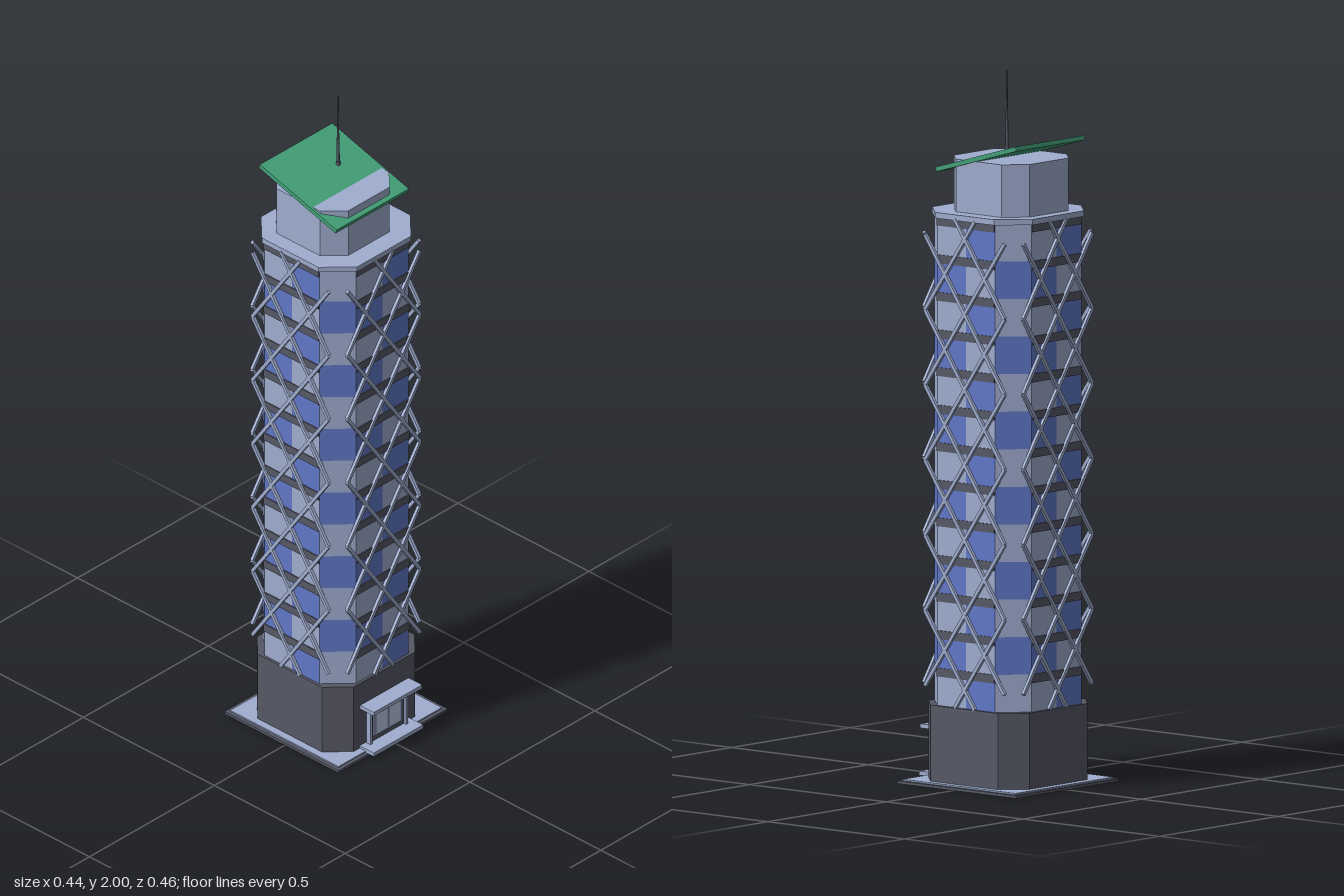
import * as THREE from 'three';
import { mergeGeometries } from 'three/addons/utils/BufferGeometryUtils.js';

const mat = (name, color) => {
  const m = new THREE.MeshStandardMaterial({ color });
  m.name = name;
  return m;
};

export function createModel() {
  const stone = mat('pale stone', 0x9fadcf);
  const dark = mat('dark grey', 0x565866);
  const blue = mat('blue glass', 0x6078c8);
  const green = mat('green roof', 0x43a179);
  const pane = mat('door glass', 0xc0cdeb);

  const group = new THREE.Group();
  const add = (name, geometry, material, x = 0, y = 0, z = 0) => {
    const mesh = new THREE.Mesh(geometry, material);
    mesh.name = name;
    mesh.position.set(x, y, z);
    group.add(mesh);
    return mesh;
  };
  const box = (name, w, h, d, material, x, y, z) =>
    add(name, new THREE.BoxGeometry(w, h, d), material, x, y, z);

  // Square prism with cut corners: a = half width, f = half length of a flat side
  const octagon = (a, f, h) => {
    const pts = [[a, -f], [a, f], [f, a], [-f, a], [-a, f], [-a, -f], [-f, -a], [f, -a]];
    const shape = new THREE.Shape(pts.map(([x, y]) => new THREE.Vector2(x, y)));
    return new THREE.ExtrudeGeometry(shape, { depth: h, bevelEnabled: false }).rotateX(-Math.PI / 2);
  };

  const CZ = -0.012;               // tower axis
  const A = 0.177, F = 0.105;      // shaft half width and flat half length
  const Y0 = 0.225, STEP = 0.105, FLOORS = 13;
  const Y1 = Y0 + STEP * FLOORS;

  // Ground plates and base
  box('groundPlate', 0.436, 0.008, 0.436, dark, 0, 0.004, CZ);
  box('paving', 0.414, 0.005, 0.414, stone, 0, 0.0095, CZ);
  add('base', octagon(0.185, 0.123, Y0 - 0.005), dark, 0, 0.005, CZ);

  // Shaft panels, window bands and braces, collected per colour
  const panels = { stone: [], blue: [] };
  const bands = [], braces = [];
  const diagonal = (A + F) / Math.SQRT2;
  const cornerWidth = (A - F) * Math.SQRT2;

  // Bracing bars rise across a face from one edge node to the other
  const EDGE = 0.145, SLOPE = 2 * STEP / EDGE;
  const bars = [];
  for (let k = -2; k <= 6; k++) {
    const y = Y0 + STEP * (0.5 + 2 * k);
    const from = Math.max(y, Y0), to = Math.min(y + 4 * STEP, Y1);
    if (to - from < 0.06) continue;
    const x0 = -EDGE + (from - y) / SLOPE, x1 = -EDGE + (to - y) / SLOPE;
    for (const s of [1, -1]) bars.push([s * x0, from, s * x1, to]);
  }

  for (let side = 0; side < 4; side++) {
    const turn = side * Math.PI / 2;
    for (let i = 0; i < FLOORS; i++) {
      const y = Y0 + STEP * (i + 0.5);
      const odd = i % 2 === 1;
      for (const s of [-1, 1]) {
        const isBlue = (s < 0) === odd;
        panels[isBlue ? 'blue' : 'stone'].push(
          new THREE.PlaneGeometry(F, STEP).translate(s * F / 2, y, A).rotateY(turn));
      }
      panels[odd ? 'blue' : 'stone'].push(
        new THREE.PlaneGeometry(cornerWidth, STEP).translate(0, y, diagonal).rotateY(turn + Math.PI / 4));
      bands.push(new THREE.BoxGeometry(F * 2, 0.024, 0.006)
        .translate(0, y + STEP / 2 - 0.012, A).rotateY(turn));
    }
    for (const [x0, y0, x1, y1] of bars) {
      braces.push(new THREE.BoxGeometry(Math.hypot(x1 - x0, y1 - y0), 0.01, 0.009)
        .rotateZ(Math.atan2(y1 - y0, x1 - x0))
        .translate((x0 + x1) / 2, (y0 + y1) / 2, A + 0.0045).rotateY(turn));
    }
  }
  add('stonePanels', mergeGeometries(panels.stone), stone, 0, 0, CZ);
  add('bluePanels', mergeGeometries(panels.blue), blue, 0, 0, CZ);
  add('floorBands', mergeGeometries(bands), dark, 0, 0, CZ);
  add('diagonalBraces', mergeGeometries(braces), stone, 0, 0, CZ);

  // Terrace, crown and tilted roof
  add('terrace', octagon(0.184, 0.108, 0.016), stone, 0, Y1 - 0.003, CZ);
  add('crown', octagon(0.138, 0.083, 0.15), stone, 0, 1.6, -0.024);
  const roof = box('tiltedRoof', 0.29, 0.013, 0.305, green, 0, 1.758, -0.02);
  roof.rotation.x = 0.282;

  // Antenna
  const AX = 0.044, AZ = -0.046;
  add('antennaFoot', new THREE.CylinderGeometry(0.006, 0.007, 0.02, 8), dark, AX, 1.773, AZ);
  add('antennaLower', new THREE.CylinderGeometry(0.004, 0.005, 0.09, 8), dark, AX, 1.815, AZ);
  add('antennaUpper', new THREE.CylinderGeometry(0.0018, 0.0035, 0.15, 8), dark, AX, 1.925, AZ);

  // Entrance
  box('canopy', 0.194, 0.012, 0.06, stone, 0, 0.146, 0.195);
  box('doorstep', 0.198, 0.012, 0.06, stone, 0, 0.014, 0.197);
  box('doorWall', 0.14, 0.12, 0.012, dark, 0, 0.08, 0.177);
  for (const s of [-1, 1]) {
    box('doorPost', 0.008, 0.12, 0.016, stone, s * 0.071, 0.08, 0.184);
    box('doorFrame', 0.056, 0.096, 0.004, stone, s * 0.028, 0.084, 0.184);
    box('doorPane', 0.044, 0.082, 0.004, pane, s * 0.027, 0.084, 0.186);
  }
  return group;
}
